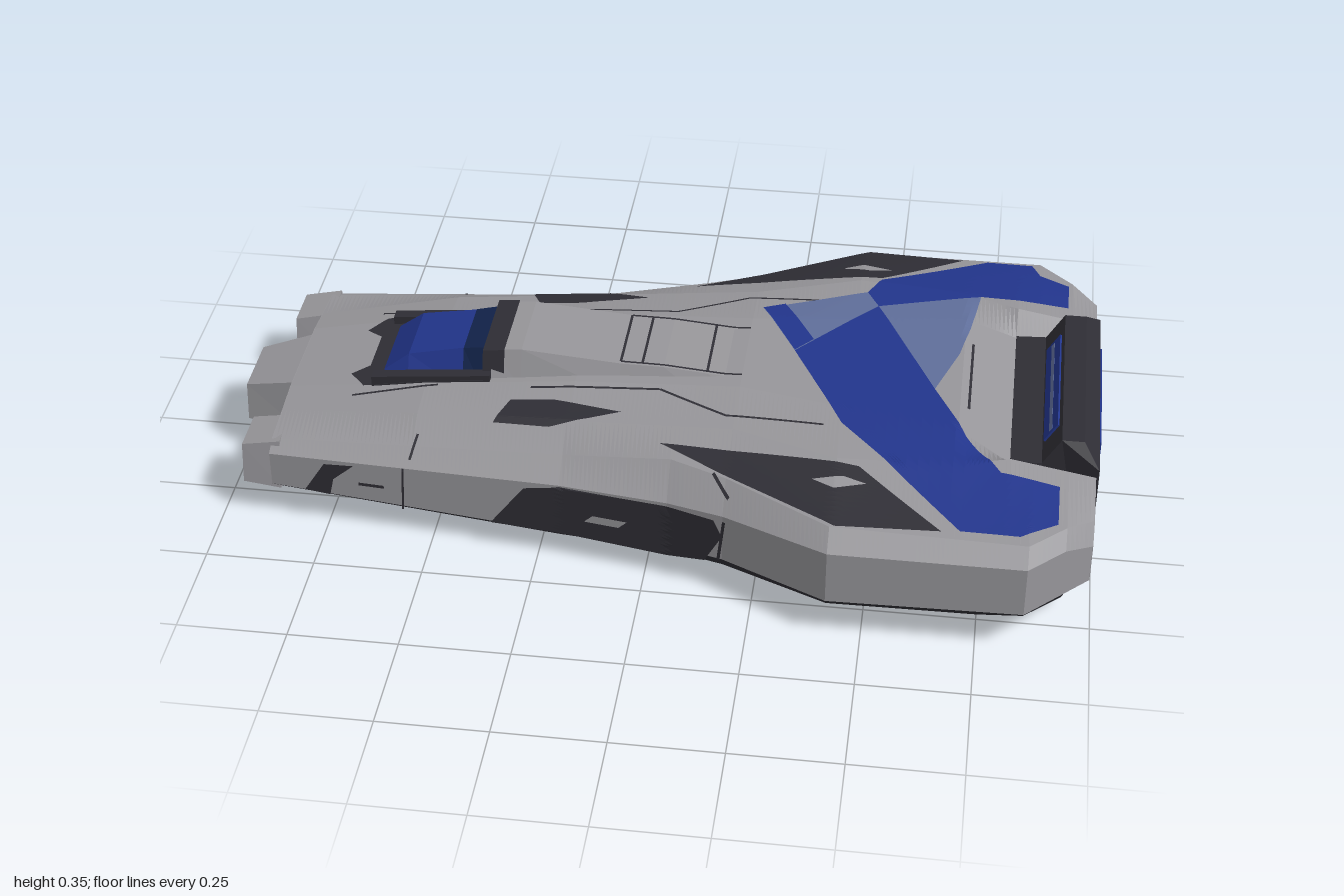
import * as THREE from 'three';

const paint = (name, color) => Object.assign(new THREE.MeshStandardMaterial({ color }), { name });

// Linear keyframes [x, value] along the ship; the nose points to -x
const track = keys => x => {
  if (x <= keys[0][0]) return keys[0][1];
  for (let i = 1; i < keys.length; i++) {
    const [x0, a] = keys[i - 1], [x1, b] = keys[i];
    if (x <= x1) return a + (b - a) * (x - x0) / (x1 - x0);
  }
  return keys[keys.length - 1][1];
};
const mix = (a, b, t) => a + (b - a) * t;

// Hull lines: half widths and heights of each edge
const halfWidth = track([[-.88, .335], [-.2, .39], [.05, .43], [.18, .475], [.42, .6], [.85, .6], [1, .455]]);
const keelW = track([[-.88, .31], [-.2, .35], [.18, .34], [.42, .33]]);
const keelY = track([[-.88, .08], [-.2, .035], [.18, .01], [.42, 0], [.75, 0], [.93, .03], [.95, .09], [1, .1]]);
const sillY = track([[-.88, .09], [-.2, .06], [.18, .09], [.42, .1], [1, .11]]);
const sideTop = track([[-.88, .175], [.05, .2], [.42, .23], [.93, .23], [1, .2]]);
const inset = track([[-.88, .035], [.05, .07], [.42, .05], [1, .04]]);
const shoulderY = track([[-.88, .195], [-.2, .235], [.05, .27], [.93, .262], [1, .24]]);
const deckW = track([[-.88, .2], [-.55, .24], [.18, .28], [.42, .36], [.68, .34], [.8, .3], [1, .3]]);
const deckY = track([[-.88, .205], [-.55, .255], [-.2, .28], [.18, .308], [.42, .31], [.8, .3], [1, .265]]);
const coreW = track([[-.88, .12], [-.55, .14], [.18, .14], [.68, .22], [.8, .25], [1, .27]]);
const coreY = track([[-.88, .215], [-.55, .268], [-.2, .305], [.18, .325], [.68, .312], [.8, .25], [1, .24]]);
const spineY = track([[-.4, .349], [-.33, .354], [-.1, .336], [0, .335], [.2, .318]]);

// Upper half profile from centre to sill, as [z, y]
const upper = x => [[coreW(x), coreY(x)], [deckW(x), deckY(x)], [halfWidth(x) - inset(x), shoulderY(x)],
  [halfWidth(x), sideTop(x)], [halfWidth(x), sillY(x)]];
const chine = x => [mix(keelW(x), halfWidth(x), .87), mix(keelY(x), sillY(x), .65)];

function topY(x, z) {
  const p = [[0, coreY(x)], ...upper(x).slice(0, 4)], w = Math.abs(z);
  let y = p[4][1];
  for (let i = 1; i < 5; i++) if (w <= p[i][0]) {
    y = mix(p[i - 1][1], p[i][1], (w - p[i - 1][0]) / (p[i][0] - p[i - 1][0]));
    break;
  }
  return x > -.4 && x < .2 && w <= .1 ? Math.max(y, spineY(x)) : y;
}

function meshOf(positions, material, name) {
  const g = new THREE.BufferGeometry();
  g.setAttribute('position', new THREE.Float32BufferAttribute(positions, 3));
  g.computeVertexNormals();
  const m = new THREE.Mesh(g, material);
  m.name = name;
  return m;
}

// Skin over sections { x, p: [[z, y], ...] }; solid ones are closed and capped
function loft(name, sections, material, solid = true) {
  const out = [], v = (s, j) => [s.x, s.p[j][1], s.p[j][0]];
  const n = sections[0].p.length, last = sections.length - 1;
  for (let i = 0; i < last; i++) for (let j = 0; j < (solid ? n : n - 1); j++) {
    const k = (j + 1) % n, a = sections[i], b = sections[i + 1];
    out.push(...v(a, j), ...v(a, k), ...v(b, k), ...v(a, j), ...v(b, k), ...v(b, j));
  }
  if (solid) for (const i of [0, last]) {
    const s = sections[i];
    const mid = [s.x, s.p.reduce((t, q) => t + q[1], 0) / n, s.p.reduce((t, q) => t + q[0], 0) / n];
    for (let j = 0; j < n; j++) {
      const k = (j + 1) % n;
      out.push(...mid, ...v(s, i ? j : k), ...v(s, i ? k : j));
    }
  }
  return meshOf(out, material, name);
}
const trap = (x, z0, z1, y0, y1, lean = 0) =>
  ({ x, p: [[z0, y0], [z0 + lean, y1], [z1 - lean, y1], [z1, y0]] });

// Painted plate: a flat outline split finely and laid on a surface
function plate(name, outline, material, map, facing) {
  const pts = outline.map(p => new THREE.Vector2(...p)), out = [];
  const [a, b, c, n] = [0, 0, 0, 0].map(() => new THREE.Vector3());
  const split = (p, q, r, level) => {
    if (level) {
      const pq = p.clone().lerp(q, .5), qr = q.clone().lerp(r, .5), rp = r.clone().lerp(p, .5);
      for (const t of [[p, pq, rp], [pq, q, qr], [rp, qr, r], [pq, qr, rp]]) split(...t, level - 1);
      return;
    }
    a.set(...map(p.x, p.y)); b.set(...map(q.x, q.y)); c.set(...map(r.x, r.y));
    n.crossVectors(b.clone().sub(a), c.clone().sub(a));
    const order = n.dot(facing) < 0 ? [a, c, b] : [a, b, c];
    order.forEach(w => out.push(w.x, w.y, w.z));
  };
  for (const t of THREE.ShapeUtils.triangulateShape(pts, [])) split(...t.map(i => pts[i]), 4);
  return meshOf(out, material, name);
}

export function createModel() {
  const ship = new THREE.Group();
  ship.name = 'ship';
  const grey = paint('hullGrey', 0x97969a), dark = paint('darkTrim', 0x2f2e35), blue = paint('blue', 0x22358c),
    pale = paint('paleBlue', 0x5f6e9a), navy = paint('canopyNavy', 0x12234a);
  const add = (...m) => ship.add(...m);

  // Main hull skins
  const xs = [];
  for (let i = 0; i <= 187; i++) xs.push(-.88 + i * .01);
  const full = half => [...half.map(([z, y]) => [-z, y]).reverse(), ...half];
  const rows = (fn, from = -1, to = 1) => xs.filter(x => x > from && x < to).map(x => ({ x, p: fn(x) }));
  const under = x => full([[keelW(x), keelY(x)], chine(x)]).reverse();
  add(loft('upperHull', rows(x => full(upper(x))), grey, false));
  add(loft('underside', rows(under, -1, .935), grey, false));
  add(loft('sternUnderside', rows(under, .925), dark, false));
  for (const s of [1, -1]) add(loft('sill', rows(x => {
    const [z, y] = chine(x), line = [[halfWidth(x) * s, sillY(x)], [z * s, y]];
    return s > 0 ? line : line.reverse();
  }), dark, false));
  const outline = x => [...full(upper(x)), ...under(x)];
  const cap = (x, d) => loft('hullEnd', [{ x, p: outline(x) }, { x: x + d, p: outline(x) }], grey);
  add(cap(-.881, .001), cap(.989, .001));

  // Nose prongs
  add(loft('centreProng', [trap(-1, -.09, .09, .088, .178, .012), trap(-.86, -.12, .12, .08, .216, .015)], grey));
  for (const s of [1, -1]) {
    const [a, b] = s > 0 ? [.19, .328] : [-.328, -.19], [c, d] = s > 0 ? [.19, .336] : [-.336, -.19];
    add(loft('sideProng', [trap(-.95, a, b, .085, .18, .015), trap(-.86, c, d, .08, .198, .02)], grey));
  }

  // Spine and canopy
  add(loft('spine', [-.4, -.33, -.1, 0, .1, .2].map(x => trap(x, -.13, .13, .27, spineY(x), .03)), grey));
  add(loft('canopyGlass', [trap(-.66, -.1, .1, .24, .262, .01), trap(-.6, -.12, .12, .24, .308, .035),
    trap(-.47, -.12, .12, .24, .333, .04)], blue));
  add(loft('canopyRear', [trap(-.47, -.121, .121, .24, .333, .04), trap(-.42, -.121, .121, .24, .342, .035)], navy));
  add(loft('canopyCollar', [trap(-.42, -.135, .135, .24, .347, .03), trap(-.37, -.135, .135, .24, .352, .03)], dark));
  for (const s of [1, -1]) add(loft('canopyRail',
    [trap(-.68, s * .125 - .014, s * .125 + .014, .24, .272), trap(-.4, s * .125 - .014, s * .125 + .014, .25, .3)], dark));

  // Stern engine block with slanted ends
  const block = new THREE.ExtrudeGeometry(new THREE.Shape([[.8, .1], [.8, .255], [.87, .258], [.91, .325], [.96, .325],
    [.996, .285], [.996, .1], [.96, .075]].map(p => new THREE.Vector2(...p))), { depth: .6, bevelEnabled: false });
  block.translate(0, 0, -.3);
  const pos = block.attributes.position;
  for (let i = 0; i < pos.count; i++) {
    const high = pos.getY(i) > .3 ? .05 : 0, front = pos.getX(i) < .9 ? .05 : 0;
    pos.setZ(i, Math.sign(pos.getZ(i)) * (.3 - Math.max(high, front)));
  }
  block.computeVertexNormals();
  const engine = new THREE.Mesh(block, dark);
  engine.name = 'engineBlock';
  const box = (name, mat, w, h, d, x, y, z, tilt = 0) => {
    const m = new THREE.Mesh(new THREE.BoxGeometry(w, h, d), mat);
    m.name = name;
    m.position.set(x, y, z);
    m.rotation.z = tilt;
    add(m);
  };
  add(engine);
  box('sternWindow', blue, .008, .14, .37, .996, .21, 0);
  box('forwardWindow', blue, .008, .055, .36, .889, .291, 0, -.54);
  box('forwardWindowStripe', pale, .009, .012, .34, .889, .291, 0, -.54);

  // Deck paint and panels
  const up = new THREE.Vector3(0, 1, 0);
  const deck = (name, pts, mat, lift = .004) => add(plate(name, pts, mat, (x, z) => [x, topY(x, z) + lift, z], up));
  deck('blueBand', [[.29, -.02], [.47, -.24], [.62, .08], [.7, .24], [.78, .35], [.91, .36], [.91, .48], [.83, .535],
    [.7, .535], [.57, .4], [.42, .24]], blue);
  deck('blueArm', [[.47, -.37], [.72, -.54], [.83, -.54], [.85, -.49], [.92, -.46], [.92, -.35], [.71, -.33],
    [.47, -.24], [.44, -.3]], blue);
  deck('paleWedge', [[.2, -.19], [.44, -.3], [.47, -.24], [.29, -.02]], pale);
  deck('paleWedge', [[.47, -.24], [.71, -.33], [.69, -.18], [.67, -.07], [.62, .08]], pale);
  deck('blueEdge', [[.2, -.19], [.25, -.215], [.33, -.07], [.29, -.02]], blue, .006);
  deck('canopyApron', [[-.74, -.09], [-.7, -.14], [-.4, -.14], [-.4, .14], [-.7, .14], [-.74, .09], [-.7, .06], [-.7, -.06]], dark);
  const line = (x0, z0, x1, z1) => {
    const l = Math.hypot(x1 - x0, z1 - z0), u = (z1 - z0) / l * .003, v = (x1 - x0) / l * .003;
    deck('deckSeam', [[x0 - u, z0 + v], [x1 - u, z1 + v], [x1 + u, z1 - v], [x0 + u, z0 - v]], dark, .003);
  };
  for (const x of [-.1, -.05, .1]) line(x, -.095, x, .095);
  line(.7, -.13, .7, .13);

  for (const s of [1, -1]) {
    const m = pts => pts.map(([x, z]) => [x, z * s]);
    deck('wingPanel', m([[.02, .32], [.43, .55], [.66, .54], [.47, .38], [.2, .345]]), dark);
    deck('wingVent', m([[.37, .425], [.42, .45], [.49, .43], [.44, .415]]), grey, .007);
    deck('deckVent', m([[-.37, .265], [-.34, .2], [-.24, .2], [-.08, .235], [-.15, .255], [-.24, .275]]), dark);
    for (const [a, b, c, d] of [[-.1, .095, .18, .095], [-.3, .16, 0, .16], [0, .16, .16, .24], [.16, .24, .38, .25],
      [-.54, .29, -.55, .345], [.15, .4, .19, .45], [-.72, .17, -.52, .15]]) line(a, b * s, c, d * s);

    // Side panels follow the hull flank
    const out = new THREE.Vector3(0, 0, s);
    const flank = (name, pts, mat, lift = .005) => add(plate(name, pts, mat, (x, y) => {
      const over = Math.max(0, (y - sideTop(x)) / (shoulderY(x) - sideTop(x)));
      return [x, y, s * (halfWidth(x) - inset(x) * over + lift)];
    }, out));
    flank('sideBay', [[-.36, .07], [-.28, .18], [-.2, .195], [.16, .2], [.18, .16], [.14, .08], [.05, .06]], dark, .009);
    flank('sideBayVent', [[-.14, .115], [-.12, .135], [-.04, .135], [-.06, .115]], grey, .013);
    flank('noseBay', [[-.8, .09], [-.75, .17], [-.68, .175], [-.73, .13], [-.74, .085]], dark);
    flank('noseSlot', [[-.67, .122], [-.67, .13], [-.61, .13], [-.61, .122]], dark);
    flank('sideSeam', [[-.57, .07], [-.565, .185], [-.56, .185], [-.565, .07]], dark);
    flank('sideSeam', [[.168, .09], [.18, .2], [.187, .2], [.175, .09]], dark);
  }
  return ship;
}
